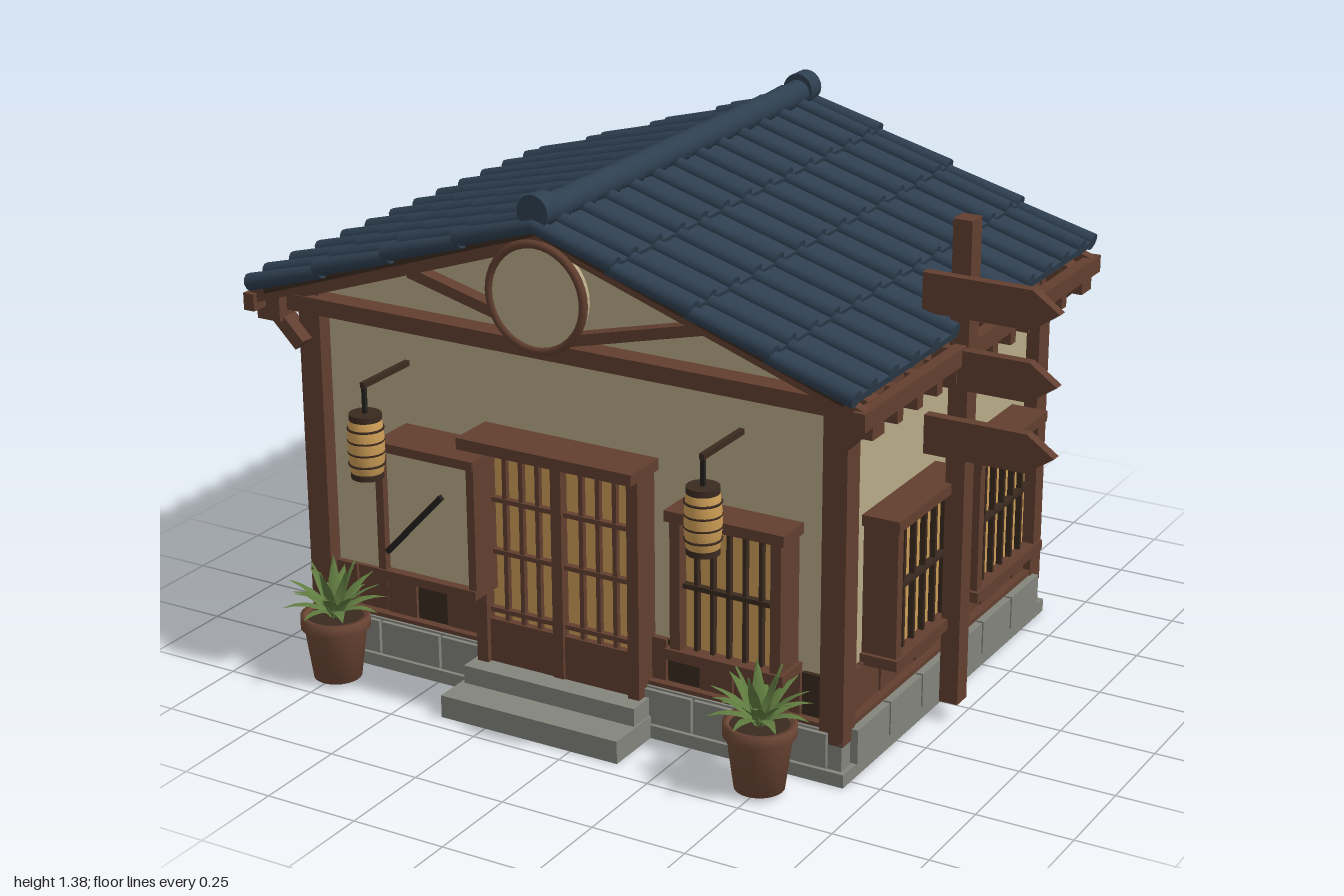
import * as THREE from 'three';

const mat = (name, color, side = THREE.FrontSide) => {
  const m = new THREE.MeshStandardMaterial({ color, side });
  m.name = name;
  return m;
};

export function createModel() {
  const M = {
    tile: mat('roof tile blue', 0x2e3f50), wood: mat('timber brown', 0x623f30),
    dark: mat('dark timber', 0x3b2a20), wall: mat('plaster', 0xb8aa88),
    amber: mat('amber paper', 0xcc9c55), stone: mat('stone', 0x83847c),
    pot: mat('clay', 0x6e4736), leaf: mat('leaf green', 0x607c40, THREE.DoubleSide),
    metal: mat('black iron', 0x24221f),
  };
  const model = new THREE.Group();
  const group = (name, parent, x = 0, y = 0, z = 0, ry = 0) => {
    const g = new THREE.Group();
    g.name = name;
    g.position.set(x, y, z);
    g.rotation.y = ry;
    parent.add(g);
    return g;
  };
  const add = (name, parent, geo, m, x = 0, y = 0, z = 0) => {
    const mesh = new THREE.Mesh(geo, m);
    mesh.name = name;
    mesh.position.set(x, y, z);
    parent.add(mesh);
    return mesh;
  };
  // Box given by its min and max on each axis
  const box = (name, parent, m, x0, x1, y0, y1, z0, z1) =>
    add(name, parent, new THREE.BoxGeometry(x1 - x0, y1 - y0, z1 - z0), m, (x0 + x1) / 2, (y0 + y1) / 2, (z0 + z1) / 2);
  // Timber between two points in the xy plane
  const beam = (name, parent, m, x0, y0, x1, y1, thick, z, depth) => {
    const b = add(name, parent, new THREE.BoxGeometry(Math.hypot(x1 - x0, y1 - y0), thick, depth), m, (x0 + x1) / 2, (y0 + y1) / 2, z);
    b.rotation.z = Math.atan2(y1 - y0, x1 - x0);
    return b;
  };

  const house = group('house', model, -0.12, 0, -0.05);

  // Plaster walls with gables
  const s = new THREE.Shape();
  [[-0.745, 0.13], [0.745, 0.13], [0.745, 1.01], [0, 1.265], [-0.745, 1.01]].forEach(([x, y], i) => (i ? s.lineTo(x, y) : s.moveTo(x, y)));
  add('walls', house, new THREE.ExtrudeGeometry(s, { depth: 1.07, bevelEnabled: false }), M.wall, 0, 0, -0.535);

  // Stone foundation
  box('foundationCore', house, M.stone, -0.778, 0.778, 0.002, 0.135, -0.577, 0.577);
  box('foundationFooting', house, M.stone, -0.79, 0.79, 0, 0.035, -0.59, 0.59);

  // Boxed lattice window facing +z
  const latticeWindow = (parent, x, w) => {
    const g = group('window', parent, x, 0, 0), h = w / 2;
    box('windowPane', g, M.amber, -h + 0.03, h - 0.03, 0.27, 0.62, 0, 0.06);
    box('windowHeader', g, M.wood, -h, h, 0.612, 0.64, 0, 0.1);
    box('windowSill', g, M.wood, -h, h, 0.25, 0.278, 0, 0.1);
    for (const k of [-1, 1]) {
      const c = k * (h - 0.025);
      box('windowJamb', g, M.wood, c - 0.014, c + 0.014, 0.255, 0.638, 0, 0.092);
    }
    for (let i = 1; i < 6; i++) {
      const c = -h + 0.03 + (w - 0.06) * i / 6;
      box('windowBar', g, M.dark, c - 0.005, c + 0.005, 0.275, 0.615, 0.055, 0.075);
    }
    box('windowRail', g, M.dark, -h + 0.03, h - 0.03, 0.438, 0.45, 0.055, 0.078);
  };

  // Each wall: stone blocks, wainscot boards, sill and windows
  const sides = [
    ['front', 0, 0.535, 0.745, [[0.485, 0.325]]],
    ['left', Math.PI / 2, 0.745, 0.535, [[-0.225, 0.4], [0.235, 0.4]]],
    ['back', Math.PI, 0.535, 0.745, [[-0.335, 0.4], [0.335, 0.4]]],
    ['right', -Math.PI / 2, 0.745, 0.535, [[0.225, 0.4], [-0.235, 0.4]]],
  ];
  sides.forEach(([name, ry, d, half, wins], si) => {
    const g = group(name + 'WallTrim', house, Math.sin(ry) * d, 0, Math.cos(ry) * d, ry);
    const full = half * 2, nb = Math.round(full / 0.187), nw = Math.round(full / 0.094);
    for (let i = 0; i < nb; i++) {
      const a = -half + full * i / nb;
      box('stoneBlock', g, M.stone, a + 0.004, a + full / nb - 0.004, 0.04, 0.13, 0.03, 0.053);
    }
    for (let i = 0; i < nw; i++) {
      const a = -half + full * i / nw;
      box('wainscotBoard', g, (i * 3 + si) % 4 === 1 && i % 2 ? M.dark : M.wood, a + 0.002, a + full / nw - 0.002, 0.14, 0.257, 0, i % 2 ? 0.012 : 0.016);
    }
    box('wallSill', g, M.wood, -half, half, 0.133, 0.146, 0, 0.035);
    box('wallPlate', g, M.wood, -half, half, 0.945, 0.985, 0, 0.03);
    wins.forEach(([x, w]) => latticeWindow(g, x, w));
  });

  // Corner posts and eave braces
  for (const x of [-1, 1]) for (const z of [-1, 1]) {
    box('cornerPost', house, M.wood, x * 0.749 - 0.032, x * 0.749 + 0.032, 0.1, 1.0, z * 0.545 - 0.032, z * 0.545 + 0.032);
    beam('eaveBrace', house, M.wood, x * 0.755, 0.86, x * 0.86, 0.965, 0.035, z * 0.59, 0.05);
    box('plateEnd', house, M.wood, x * 0.835 - 0.035, x * 0.835 + 0.035, 0.92, 0.985, z * 0.6 - 0.03, z * 0.6 + 0.03);
  }

  // Gable trusses on both ends
  for (const z of [-1, 1]) {
    const g = group('gableTruss', house, 0, 0, z * 0.57);
    box('tieBeam', g, M.wood, -0.86, 0.86, 0.945, 0.988, -0.03, 0.03);
    box('kingPost', g, M.wood, -0.025, 0.025, 0.985, 1.26, -0.025, 0.025);
    for (const x of [-1, 1]) {
      beam('principalRafter', g, M.wood, 0, 1.262, x * 0.86, 0.97, 0.042, 0, 0.055);
      beam('strut', g, M.wood, x * 0.03, 1.0, x * 0.43, 1.1, 0.028, 0, 0.04);
      beam('bargeBoard', g, M.wood, 0, 1.278, x * 0.865, 0.984, 0.03, z * 0.08, 0.03);
    }
  }

  // Tiled roof slope, built once per side
  const angle = Math.atan(0.34), L = 0.885, rows = 4, step = L / rows;
  const rib = new THREE.CylinderGeometry(0.018, 0.023, step + 0.015, 10).rotateZ(Math.PI / 2);
  const pan = new THREE.BoxGeometry(step + 0.015, 0.02, 1.38);
  for (const ry of [0, Math.PI]) {
    const side = group('roofSide', house, 0, 0, 0, ry);
    const slope = group('roofSlope', side, 0, 1.3, 0);
    slope.rotation.z = -angle;
    box('roofDeck', slope, M.dark, 0, L - 0.02, -0.018, -0.002, -0.67, 0.67);
    for (let r = 0; r < rows; r++) {
      const row = group('tileRow', slope, (r + 0.5) * step, 0.01, 0);
      row.rotation.z = 0.05;
      add('panTiles', row, pan, M.tile);
      for (let i = 0; i < 12; i++) add('rollTile', row, rib, M.tile, 0, 0.01, (i - 5.5) * 0.109);
      for (const z of [-0.677, 0.677]) add('vergeTile', row, rib, M.tile, 0, 0.004, z);
    }
    // Eave board and rafter tails
    box('eaveBoard', side, M.wood, 0.842, 0.874, 0.955, 1.0, -0.678, 0.678);
    for (let i = 0; i < 10; i++) {
      const z = (i - 4.5) * 0.105;
      box('rafterTail', side, M.wood, 0.73, 0.862, 0.912, 0.958, z - 0.015, z + 0.015);
    }
  }

  // Ridge rolls with end caps
  const roll = new THREE.CylinderGeometry(0.033, 0.037, 0.114, 16).rotateX(Math.PI / 2);
  for (let i = 0; i < 12; i++) add('ridgeTile', house, roll, M.tile, 0, 1.333, (i - 5.5) * 0.112);
  const cap = new THREE.CylinderGeometry(0.043, 0.043, 0.055, 20).rotateX(Math.PI / 2);
  for (const z of [-0.657, 0.657]) add('ridgeCap', house, cap, M.tile, 0, 1.342, z);

  // Round gable sign
  const sign = group('roundSign', model, -0.12, 1.13, 0.61);
  add('signFace', sign, new THREE.CylinderGeometry(0.13, 0.13, 0.035, 40).rotateX(Math.PI / 2), M.wall);
  add('signRim', sign, new THREE.TorusGeometry(0.132, 0.011, 8, 40), M.wood, 0, 0, 0.015);

  // Sliding double door
  const door = group('door', model, -0.12, 0, 0);
  box('doorPane', door, M.amber, -0.22, 0.22, 0.22, 0.7, 0.48, 0.53);
  box('doorKickPanel', door, M.wood, -0.235, 0.235, 0.1, 0.225, 0.48, 0.55);
  box('doorHeader', door, M.wood, -0.25, 0.25, 0.695, 0.725, 0.48, 0.615);
  box('doorCenterStile', door, M.wood, -0.015, 0.015, 0.11, 0.7, 0.48, 0.558);
  for (const k of [-1, 1]) {
    box('doorJamb', door, M.wood, k * 0.222 - 0.016, k * 0.222 + 0.016, 0.1, 0.7, 0.48, 0.565);
    for (let i = 1; i < 4; i++) {
      const c = k * (0.015 + i * 0.048);
      box('doorBar', door, M.wood, c - 0.006, c + 0.006, 0.22, 0.7, 0.52, 0.544);
    }
  }
  for (const y of [0.25, 0.41, 0.55]) box('doorRail', door, M.wood, -0.22, 0.22, y - 0.006, y + 0.006, 0.52, 0.547);
  box('lowerStep', model, M.stone, -0.38, 0.135, 0, 0.06, 0.5, 0.7);
  box('upperStep', model, M.stone, -0.37, 0.13, 0.05, 0.108, 0.48, 0.61);

  // Notice board
  const board = group('noticeBoard', model, -0.4625, 0.49, 0);
  box('boardPanel', board, M.wall, -0.14, 0.14, -0.175, 0.175, 0.48, 0.605);
  for (const k of [-1, 1]) {
    box('boardRail', board, M.wood, -0.1475, 0.1475, k * 0.173 - 0.012, k * 0.173 + 0.012, 0.48, 0.63);
    box('boardStile', board, M.wood, k * 0.137 - 0.011, k * 0.137 + 0.011, -0.18, 0.18, 0.48, 0.625);
  }
  beam('boardPointer', model, M.metal, -0.555, 0.4, -0.387, 0.58, 0.014, 0.66, 0.012);

  // Hanging paper lanterns on iron hooks
  const body = [[0.03, 0], [0.041, 0.012], [0.046, 0.06], [0.046, 0.1], [0.041, 0.148], [0.03, 0.16]].map(([x, y]) => new THREE.Vector2(x, y));
  for (const x of [-0.6, 0.36]) {
    const g = group('lantern', model, x, 0.6, 0.67);
    add('lanternPaper', g, new THREE.LatheGeometry(body, 20), M.amber);
    for (const y of [0.004, 0.157]) add('lanternCap', g, new THREE.CylinderGeometry(0.041, 0.041, 0.016, 20), M.dark, 0, y, 0);
    for (let i = 1; i < 5; i++) add('lanternHoop', g, new THREE.TorusGeometry(0.0445, 0.003, 6, 20).rotateX(Math.PI / 2), M.dark, 0, i * 0.031 + 0.003, 0);
    box('lanternRod', g, M.metal, -0.005, 0.005, 0.16, 0.245, -0.005, 0.005);
    box('lanternArm', g, M.dark, -0.007, 0.007, 0.232, 0.246, -0.19, 0.007);
  }

  // Potted plants with arching blades
  const potProfile = [[0, 0], [0.062, 0], [0.08, 0.135], [0.09, 0.14], [0.09, 0.172], [0.076, 0.172], [0.074, 0.155], [0, 0.155]].map(([x, y]) => new THREE.Vector2(x, y));
  const blade = (len, lean) => {
    const geo = new THREE.PlaneGeometry(1, 1, 2, 5), p = geo.attributes.position;
    for (let i = 0; i < p.count; i++) {
      const t = p.getY(i) + 0.5, u = p.getX(i);
      const a = lean * (0.45 + 0.55 * t);
      p.setXYZ(i, u * 0.034 * Math.sin(Math.PI * (0.2 + 0.8 * t)), len * t * Math.cos(a), len * t * Math.sin(a) + Math.abs(u) * 0.012);
    }
    geo.computeVertexNormals();
    return geo;
  };
  const rings = [[8, 0.135, 1.25], [8, 0.15, 0.85], [5, 0.16, 0.35]].map(([n, len, lean]) => [n, blade(len, lean)]);
  for (const x of [-0.74, 0.5]) {
    const g = group('pottedPlant', model, x, 0.01, 0.645);
    add('pot', g, new THREE.LatheGeometry(potProfile, 24), M.pot).material = M.pot;
    add('soil', g, new THREE.CylinderGeometry(0.074, 0.074, 0.008, 20), M.dark, 0, 0.16, 0);
    rings.forEach(([n, geo], k) => {
      for (let i = 0; i < n; i++) add('leaf', g, geo, M.leaf, 0, 0.16, 0).rotation.y = (i + k * 0.5) / n * Math.PI * 2;
    });
  }

  // Signpost with arrow boards
  const post = group('signpost', model, 0.733, 0, 0.065);
  box('signpostPole', post, M.wood, -0.025, 0.025, 0.05, 1.31, -0.027, 0.027);
  [[1.125, -0.088], [0.945, -0.06], [0.765, -0.075]].forEach(([y, x0]) => {
    const a = new THREE.Shape();
    [[x0, -0.05], [0.195, -0.05], [0.267, 0], [0.195, 0.05], [x0, 0.05]].forEach(([x, v], i) => (i ? a.lineTo(x, v) : a.moveTo(x, v)));
    add('arrowBoard', post, new THREE.ExtrudeGeometry(a, { depth: 0.028, bevelEnabled: false }), M.wood, 0, y, 0.025);
  });
  return model;
}
